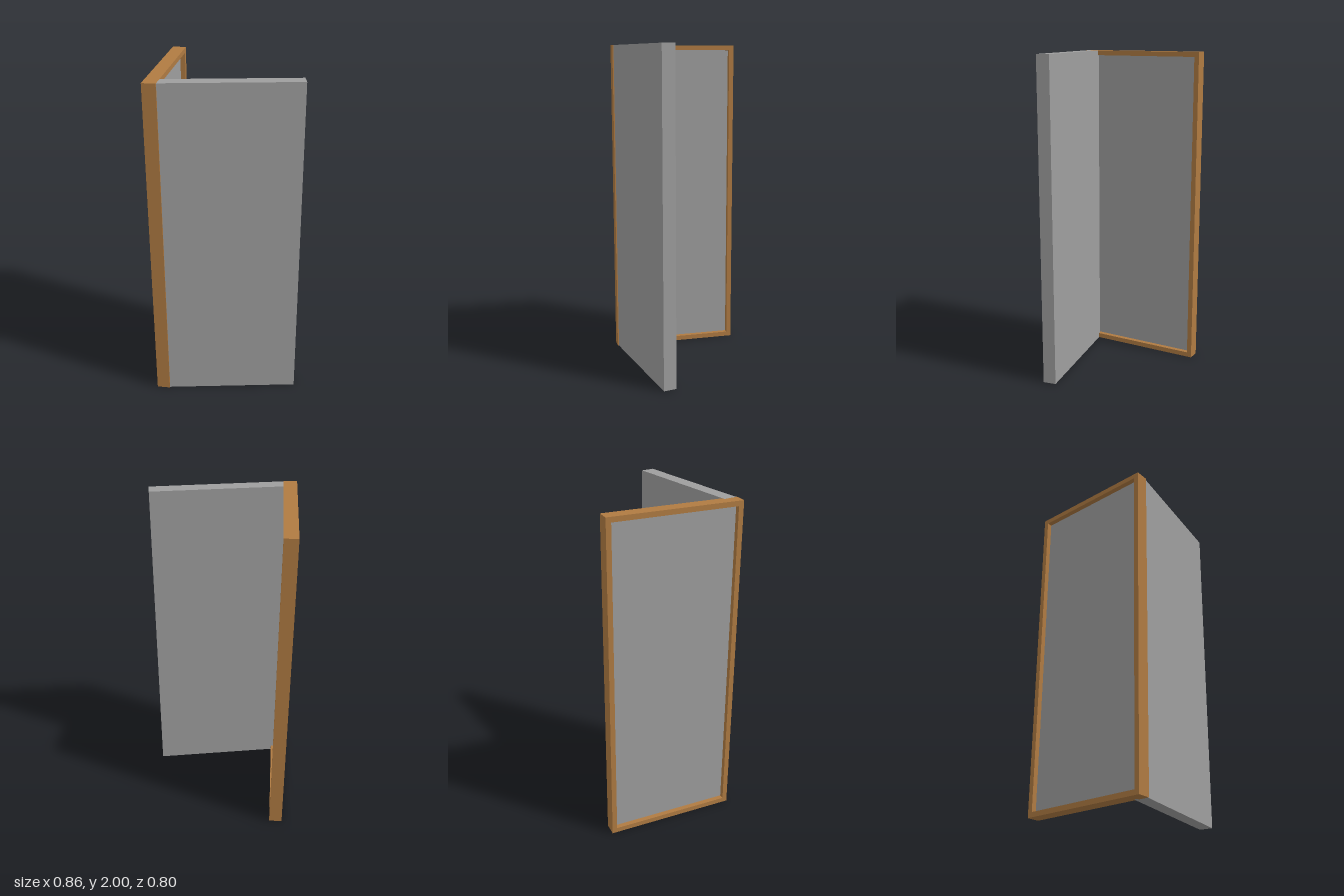
import * as THREE from 'three';

export function createModel() {
  const wood = new THREE.MeshStandardMaterial({ name: 'wood', color: 0xb07b42 });
  const grey = new THREE.MeshStandardMaterial({ name: 'greyPaint', color: 0x9e9e9e });

  const W = 0.8, H = 2, T = 0.08, BORDER = 0.03;
  const model = new THREE.Group();
  model.name = 'foldingScreen';

  // Rectangle outline centred on the origin
  const rectangle = (target, w, h) => {
    target.moveTo(-w / 2, -h / 2);
    target.lineTo(w / 2, -h / 2);
    target.lineTo(w / 2, h / 2);
    target.lineTo(-w / 2, h / 2);
    target.closePath();
    return target;
  };

  // Wooden frame, standing along z, with a thin recessed panel
  const framed = new THREE.Group();
  framed.name = 'framedPanel';
  const outline = rectangle(new THREE.Shape(), W, H);
  outline.holes.push(rectangle(new THREE.Path(), W - 2 * BORDER, H - 2 * BORDER));
  const frameGeometry = new THREE.ExtrudeGeometry(outline, { depth: T, bevelEnabled: false });
  frameGeometry.translate(0, 0, -T / 2);
  const frame = new THREE.Mesh(frameGeometry, wood);
  frame.name = 'frame';
  const infill = new THREE.Mesh(new THREE.BoxGeometry(W - 2 * BORDER, H - 2 * BORDER, 0.02), grey);
  infill.name = 'infillPanel';
  framed.add(frame, infill);
  framed.rotation.y = Math.PI / 2;
  framed.position.set(-0.393, H / 2, 0);

  // Plain leaf, swung open by ten degrees
  const leaf = new THREE.Mesh(new THREE.BoxGeometry(W, H, T), grey);
  leaf.name = 'swingLeaf';
  leaf.rotation.y = THREE.MathUtils.degToRad(10);
  leaf.position.set(0.03, H / 2, 0.2845);

  model.add(framed, leaf);
  return model;
}
